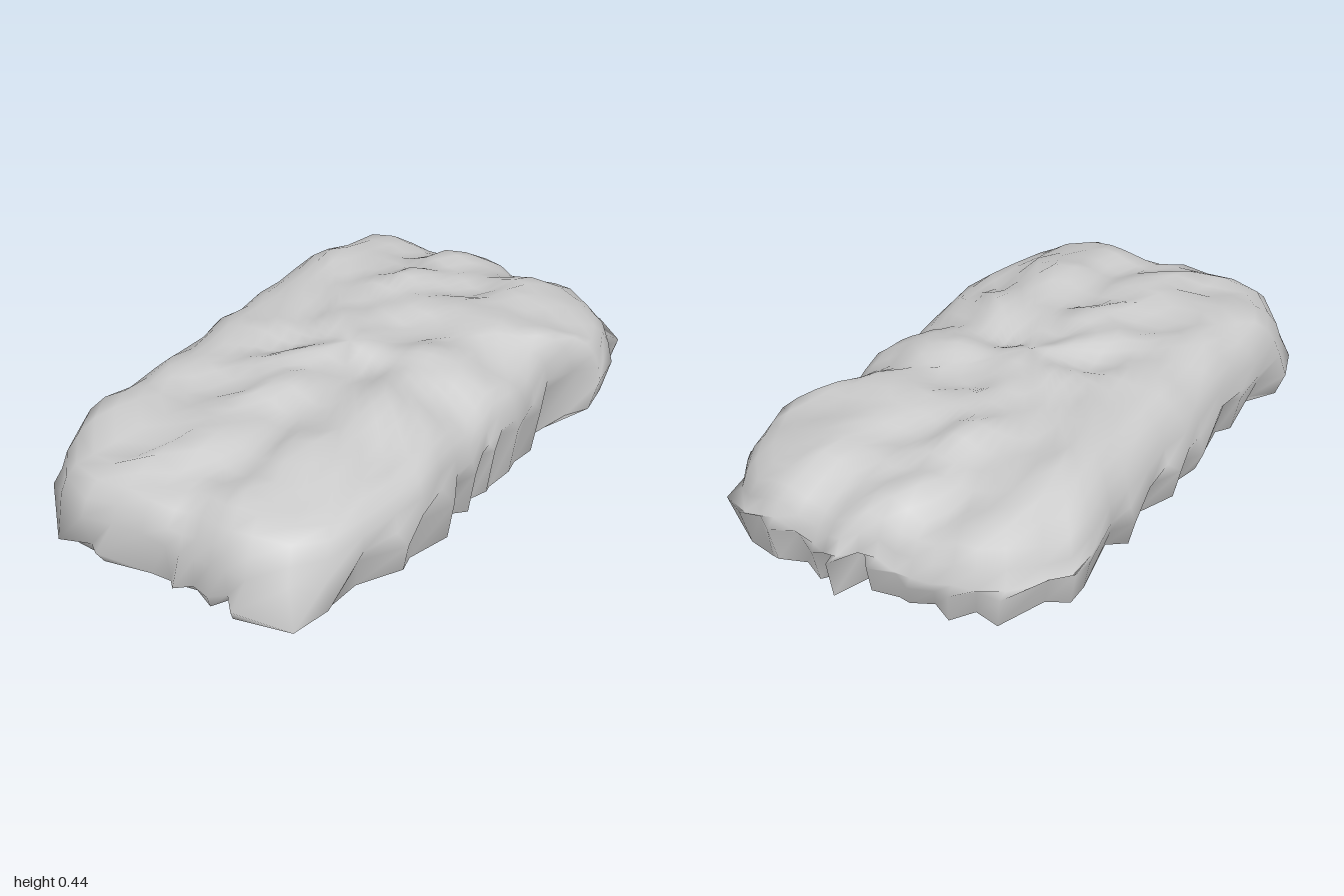
import * as THREE from 'three';
import { mergeVertices } from 'three/addons/utils/BufferGeometryUtils.js';

// Jagged plan outline of the slab (x, z pairs), clockwise from the back right corner
const PLAN = [
  -0.47, -0.88, -0.39, -0.87, -0.33, -0.92, -0.27, -0.9, -0.2, -0.93, -0.15, -0.91, -0.08, -0.95, -0.02, -0.88,
  0.02, -1, 0.07, -0.9, 0.12, -0.94, 0.2, -0.9, 0.27, -0.95, 0.32, -0.92, 0.4, -0.92, 0.5, -0.86,
  0.51, -0.72, 0.57, -0.67, 0.58, -0.57, 0.51, -0.54, 0.46, -0.4, 0.5, -0.33, 0.5, -0.22, 0.52, -0.15,
  0.49, -0.08, 0.52, -0.01, 0.49, 0.04, 0.52, 0.1, 0.49, 0.19, 0.55, 0.27, 0.53, 0.45, 0.56, 0.53,
  0.48, 0.66, 0.49, 0.82, 0.46, 0.94, 0.28, 0.98, 0.24, 0.94, 0.2, 0.98, 0.12, 0.94, 0.07, 0.97,
  0.04, 0.94, -0.02, 0.95, -0.18, 1, -0.23, 0.96, -0.35, 0.97, -0.5, 0.82, -0.55, 0.69, -0.5, 0.58,
  -0.53, 0.4, -0.5, 0.35, -0.56, 0.1, -0.53, 0.04, -0.57, -0.06, -0.52, -0.22, -0.57, -0.33, -0.53, -0.4,
  -0.58, -0.6, -0.58, -0.67, -0.53, -0.73,
];
// Weathered profile from the wall over the shoulder to the crown: [outline scale, height]
const PROFILE = [
  [0.99, 0.25], [0.97, 0.3], [0.935, 0.342], [0.88, 0.372], [0.81, 0.39], [0.73, 0.4], [0.65, 0.406],
  [0.57, 0.411], [0.49, 0.415], [0.41, 0.418], [0.33, 0.42], [0.25, 0.42], [0.17, 0.42], [0.09, 0.42], [0, 0.42],
];

const { smoothstep, lerp } = THREE.MathUtils;
const N = PLAN.length / 2;
const rim = Array.from({ length: N }, (_, i) => new THREE.Vector2(PLAN[2 * i], PLAN[2 * i + 1]));
// Averaging neighbours removes the spikes for the rounded upper body
const body = rim.map((p, i) => p.clone().multiplyScalar(2)
  .add(rim[(i + 1) % N]).add(rim[(i + N - 1) % N]).divideScalar(4));

// Small knobs and diagonal creases of the stone surface
const lumps = (x, y, z) =>
  0.009 * Math.sin(17 * x - 6 * z + 9 * y + 1) * Math.cos(11 * z + 5 * x) +
  0.009 * Math.sin(21 * z + 13 * x + 2 * Math.sin(9 * x + 1)) +
  0.008 * Math.sin(31 * x + 14 * y + 2 * Math.sin(10 * z)) * Math.cos(19 * z - 8 * x + 12 * y);

// Broad ridges of the top, running lengthwise and across
const ridges = (x, z) => 0.012 * Math.cos(20 * (x + 0.07)) + 0.006 * Math.cos(18.5 * (z - 0.25));

// Underside: shallow planes falling to one low point near the back left
const bottomY = (x, z) => 0.122 * Math.min(1,
  Math.max((0.36 - x) / 0.4, (x - 0.36) / 0.3, (z + 0.45) / 1.1, (-0.45 - z) / 0.55));

// Widest line of the wall with its spikes, lower along the front
const spikeRing = rim.map((p) => new THREE.Vector3(
  p.x, lerp(0.21, 0.15, smoothstep(p.y, 0.6, 0.95)) + 0.02 * Math.sin(17 * p.x + 11 * p.y), p.y));

// Broken lower edge, its teeth alternating in height and overhanging at the back left corner
const edgeRing = rim.map((p, i) => {
  const overhang = 0.03 * smoothstep(p.x, 0.4, 0.55) * smoothstep(-p.y, 0.45, 0.6);
  const y = bottomY(p.x * 0.95, p.y * 0.95) + overhang + 0.012 * Math.sin(2.3 * i);
  return new THREE.Vector3(p.x * 0.955, y, p.y * 0.975);
});

// Joins rings of equal length, ordered from below to above
function loft(rings) {
  const pos = [], index = [];
  rings.forEach((ring) => ring.forEach((p) => pos.push(p.x, p.y, p.z)));
  for (let r = 0; r < rings.length - 1; r++) {
    for (let j = 0; j < N; j++) {
      const k = (j + 1) % N;
      const a = r * N + j, b = r * N + k, c = a + N, d = b + N;
      index.push(a, c, b, b, c, d);
    }
  }
  const g = new THREE.BufferGeometry();
  g.setAttribute('position', new THREE.Float32BufferAttribute(pos, 3));
  g.setIndex(index);
  const merged = mergeVertices(g, 1e-5);
  merged.computeVertexNormals();
  return merged;
}

export function createModel() {
  const group = new THREE.Group();
  group.name = 'stoneSlab';

  // Smooth weathered walls and top, sinking slightly to the back and left
  const upperRings = PROFILE.map(([s, h]) => body.map((p) => {
    const x = p.x * s, z = p.y * s;
    const swell = 1 + 1.2 * lumps(p.x, h, p.y) * smoothstep(s, 0.6, 1);
    const drop = 0.025 * smoothstep(-z, 0.45, 0.85) + 0.012 * smoothstep(x, 0.3, 0.5);
    const y = h + lumps(x, 0, z) + ridges(x, z) - drop;
    return new THREE.Vector3(x * swell, y, z * swell);
  }));
  const upper = new THREE.Mesh(loft([edgeRing, spikeRing, ...upperRings]),
    new THREE.MeshStandardMaterial({ color: 0xcccccc }));
  upper.name = 'weatheredTop';
  group.add(upper);

  // Faceted broken underside
  const lowerRings = [0, 0.2, 0.4, 0.6, 0.8].map((s) => body.map((p) =>
    new THREE.Vector3(p.x * s, bottomY(p.x * s, p.y * s), p.y * s)));
  const lower = new THREE.Mesh(loft([...lowerRings, edgeRing]),
    new THREE.MeshStandardMaterial({ color: 0xcccccc, flatShading: true }));
  lower.name = 'brokenUnderside';
  group.add(lower);

  return group;
}
